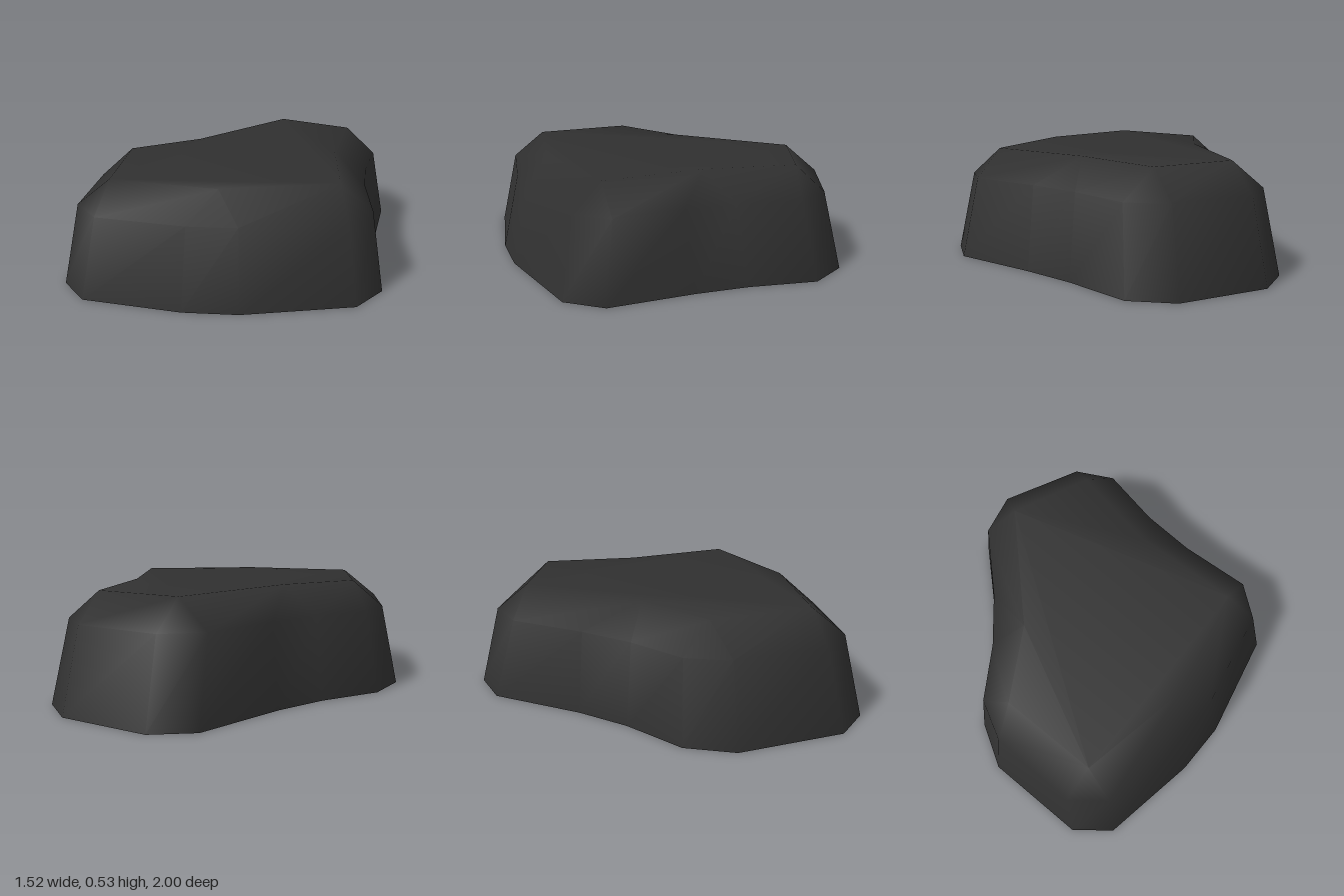
import * as THREE from 'three';

// Outlines as [x, z], running from the back round the left, front and right sides.
const BASE = [
  [-0.24, -1.0], [-0.02, -0.95], [0.2, -0.68], [0.39, -0.49],
  [0.72, -0.2], [0.76, 0.01], [0.49, 0.49], [0.31, 0.69],
  [-0.08, 1.0], [-0.29, 0.99], [-0.68, 0.65], [-0.76, 0.42],
  [-0.71, 0.1], [-0.71, -0.17], [-0.765, -0.64], [-0.655, -0.83],
];
const SHOULDER = [
  [-0.22, -0.9], [-0.02, -0.85], [0.17, -0.6], [0.36, -0.41],
  [0.64, -0.19], [0.675, 0.0], [0.42, 0.44], [0.26, 0.62],
  [-0.09, 0.9], [-0.29, 0.89], [-0.62, 0.59], [-0.7, 0.39],
  [-0.66, 0.1], [-0.66, -0.17], [-0.7, -0.55], [-0.6, -0.74],
];
// One top corner for each pair of shoulder corners.
const TOP = [
  [-0.16, -0.765], [0.13, -0.4], [0.535, -0.07], [0.25, 0.43],
  [-0.18, 0.765], [-0.555, 0.44], [-0.485, 0.05], [-0.54, -0.59],
];

function rockGeometry() {
  const positions = [];
  const index = [];
  const addRing = (ring, y) => ring.forEach(([x, z]) => positions.push(x, y, z));
  addRing(BASE, 0);
  addRing(SHOULDER, 0.395);
  addRing(TOP, 0.53);

  const n = BASE.length;
  const m = TOP.length;
  const shoulder = (i) => n + (i % n);
  const top = (k) => 2 * n + (k % m);

  // Steep side walls
  for (let i = 0; i < n; i++) {
    const j = (i + 1) % n;
    index.push(j, i, shoulder(i), j, shoulder(i), shoulder(j));
  }
  // Sloping rim: a corner triangle and a quad per top corner
  for (let k = 0; k < m; k++) {
    const a = shoulder(2 * k);
    const b = shoulder(2 * k + 1);
    const c = shoulder(2 * k + 2);
    index.push(b, a, top(k), c, b, top(k), c, top(k), top(k + 1));
  }
  // Flat top
  const order = TOP.map((_, k) => m - 1 - k);
  const outline = order.map((k) => new THREE.Vector2(TOP[k][0], -TOP[k][1]));
  for (const face of THREE.ShapeUtils.triangulateShape(outline, [])) {
    index.push(...face.map((v) => top(order[v])));
  }

  const geometry = new THREE.BufferGeometry();
  geometry.setAttribute('position', new THREE.Float32BufferAttribute(positions, 3));
  geometry.setIndex(index);
  geometry.computeVertexNormals();
  return geometry;
}

export function createModel() {
  const group = new THREE.Group();
  group.name = 'rock';

  // Open underneath, so both sides are drawn
  const stone = new THREE.MeshStandardMaterial({ color: 0x303030, side: THREE.DoubleSide });
  stone.name = 'darkStone';

  const shell = new THREE.Mesh(rockGeometry(), stone);
  shell.name = 'rockShell';
  group.add(shell);
  return group;
}
